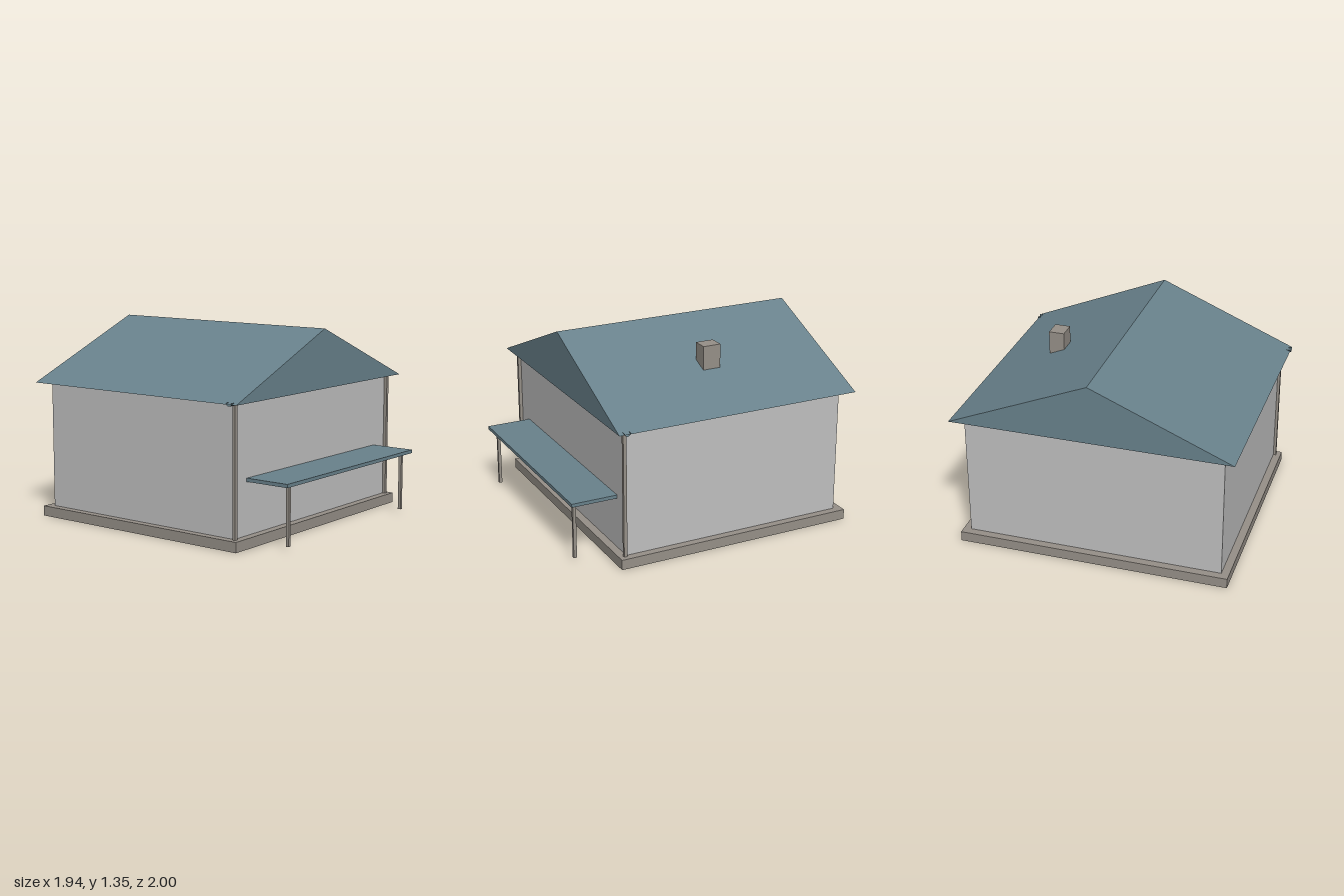
import * as THREE from 'three';

export function createModel() {
  const group = new THREE.Group();
  group.name = 'house';

  const paint = (name, color, side = THREE.FrontSide) => {
    const m = new THREE.MeshStandardMaterial({ color, side });
    m.name = name;
    return m;
  };
  const wallGrey = paint('wallGrey', 0xc0c0c0);
  const stone = paint('stone', 0x969088);
  const slateBlue = paint('slateBlue', 0x69828c, THREE.DoubleSide);

  const add = (name, geometry, material) => {
    const mesh = new THREE.Mesh(geometry, material);
    mesh.name = name;
    group.add(mesh);
    return mesh;
  };
  // Box given by its lower and upper limits on each axis
  const box = (name, material, [x0, x1], [y0, y1], [z0, z1]) => {
    const mesh = add(name, new THREE.BoxGeometry(x1 - x0, y1 - y0, z1 - z0), material);
    mesh.position.set((x0 + x1) / 2, (y0 + y1) / 2, (z0 + z1) / 2);
    return mesh;
  };

  // Plinth and walls
  box('plinth', stone, [-0.94, 0.94], [0, 0.07], [-0.975, 0.735]);
  box('walls', wallGrey, [-0.887, 0.887], [0.07, 0.946], [-0.92, 0.68]);

  // Gable roof: a closed triangular prism running front to back
  const gable = new THREE.Shape();
  gable.moveTo(-0.967, 0.946);
  gable.lineTo(0.967, 0.946);
  gable.lineTo(0, 1.351);
  gable.closePath();
  const roof = new THREE.ExtrudeGeometry(gable, { depth: 1.757, bevelEnabled: false });
  roof.translate(0, 0, -1);
  add('roof', roof, slateBlue);

  // Chimney rising out of the right-hand slope
  box('chimney', stone, [0.443, 0.55], [1.06, 1.285], [-0.187, -0.06]);

  // Half-round gutter across the front
  const gutter = new THREE.CylinderGeometry(0.0215, 0.0215, 1.944, 12, 1, true, 0, Math.PI);
  gutter.rotateZ(-Math.PI / 2);
  add('gutter', gutter, slateBlue).position.set(0, 0.957, 0.702);

  // Porch canopy
  box('canopy', slateBlue, [-0.757, 0.757], [0.423, 0.447], [0.68, 1]);

  // Mirrored downpipes and canopy posts
  for (const side of [-1, 1]) {
    const pipeX = side * 0.895;
    box('downpipe', stone, [pipeX - 0.011, pipeX + 0.011], [0.07, 0.946], [0.68, 0.703]);
    const postX = side * 0.68;
    box('canopyPost', stone, [postX - 0.01, postX + 0.01], [0.025, 0.424], [0.943, 0.965]);
  }

  return group;
}
